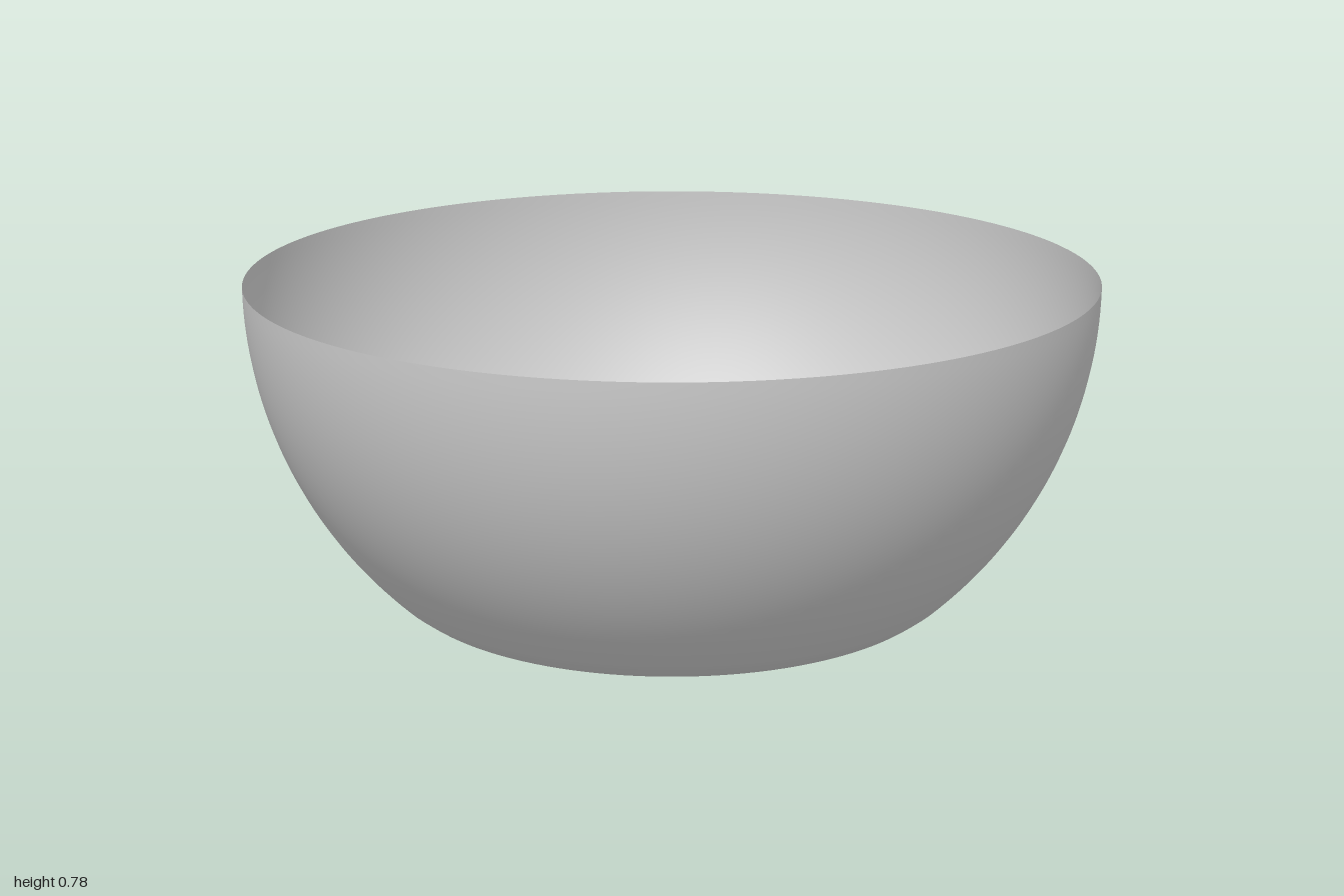
import * as THREE from 'three';

export function createModel() {
  const model = new THREE.Group();
  const material = new THREE.MeshStandardMaterial({ color: 0xcccccc, side: THREE.DoubleSide });
  const rimHeight = 0.78;
  const profile = [new THREE.Vector2(0, 0.17)];

  // Base: flat raised centre rolling down to the foot ring, then out to the wall
  const base = new THREE.SplineCurve([
    [0.26, 0.17], [0.31, 0.16], [0.36, 0.128], [0.42, 0.076], [0.48, 0.03],
    [0.54, 0.006], [0.595, 0], [0.63, 0.01], [0.675, 0.042],
  ].map(([r, y]) => new THREE.Vector2(r, y)));
  profile.push(...base.getPoints(48));

  // Wall: spherical arc up to the rim
  const start = Math.acos(0.675);
  for (let i = 1; i <= 32; i++) {
    const a = start * (1 - i / 32);
    profile.push(new THREE.Vector2(Math.cos(a), rimHeight - Math.sin(a)));
  }

  const bowl = new THREE.Mesh(new THREE.LatheGeometry(profile, 128), material);
  bowl.name = 'bowl';
  model.add(bowl);
  return model;
}
